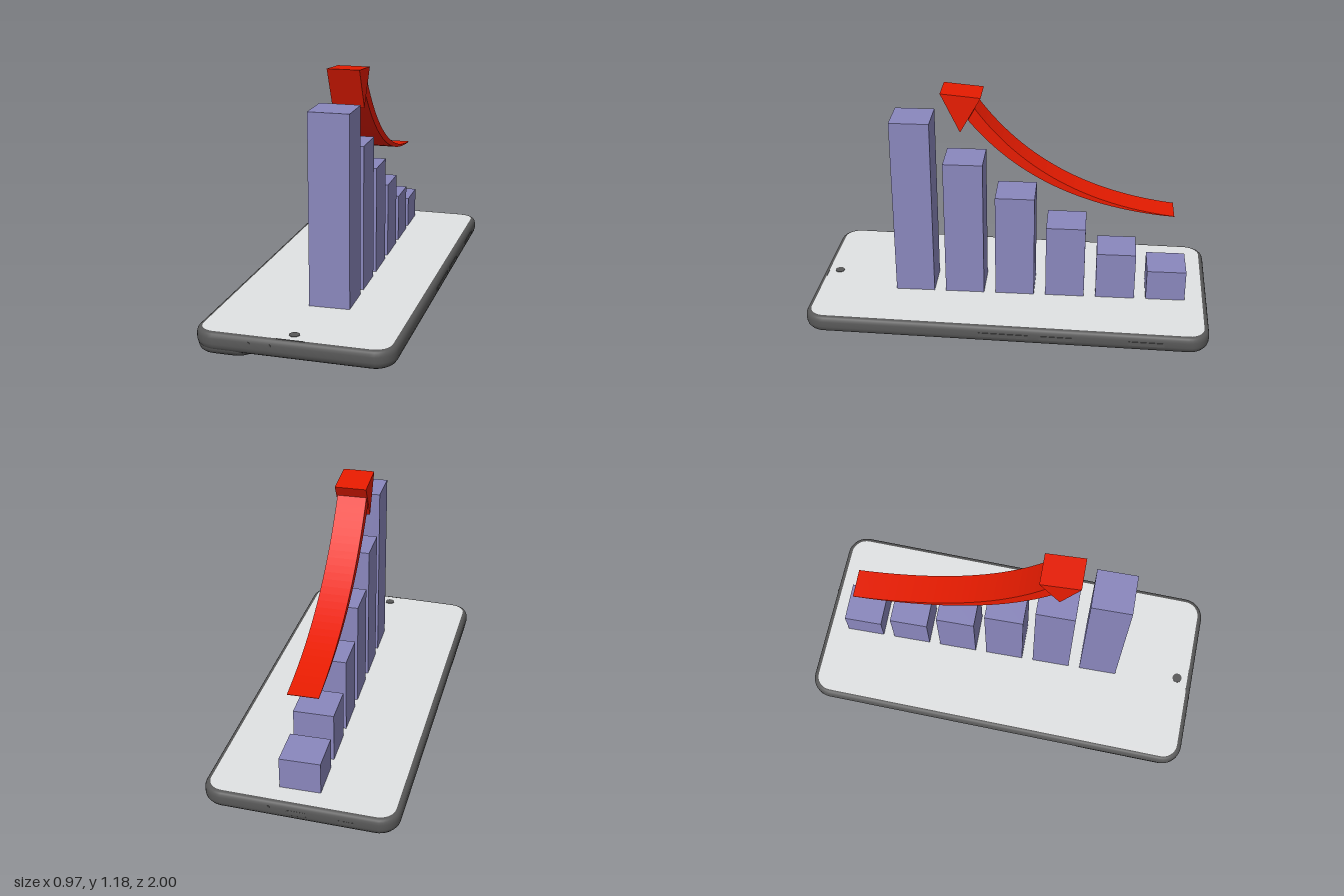
import * as THREE from 'three';

const mat = (name, color) => {
  const m = new THREE.MeshStandardMaterial({ color });
  m.name = name;
  return m;
};

// Rounded rectangle in x/z, running from +x towards +z
function outline(w, l, r, steps = 8) {
  const pts = [];
  [[1, 1], [-1, 1], [-1, -1], [1, -1]].forEach(([sx, sz], q) => {
    for (let i = 0; i <= steps; i++) {
      const t = (q + i / steps) * Math.PI / 2;
      pts.push(new THREE.Vector2(sx * (w / 2 - r) + r * Math.cos(t), sz * (l / 2 - r) + r * Math.sin(t)));
    }
  });
  return pts;
}

// Smooth wall through inset outlines; profile = [inset, y] from bottom to top
function loft(w, l, r, profile) {
  const pos = [], idx = [];
  let n = 0;
  for (const [inset, y] of profile) {
    const ring = outline(w - 2 * inset, l - 2 * inset, Math.max(r - inset, 0.01));
    n = ring.length;
    ring.forEach(p => pos.push(p.x, y, p.y));
  }
  for (let i = 0; i < profile.length - 1; i++) {
    for (let j = 0; j < n; j++) {
      const a = i * n + j, b = i * n + (j + 1) % n, c = a + n, d = b + n;
      idx.push(a, c, b, b, c, d);
    }
  }
  const g = new THREE.BufferGeometry();
  g.setAttribute('position', new THREE.Float32BufferAttribute(pos, 3));
  g.setIndex(idx);
  g.computeVertexNormals();
  return g;
}

// Flat rounded plate facing up (dir 1) or down (dir -1)
function plate(w, l, r, y, dir) {
  const g = new THREE.ShapeGeometry(new THREE.Shape(outline(w, l, r)));
  g.rotateX(-dir * Math.PI / 2);
  return g.translate(0, y, 0);
}

export function createModel() {
  const bodyMat = mat('body grey', 0x585858);
  const screenMat = mat('screen light grey', 0xe1e3e4);
  const barMat = mat('bar violet', 0x8a87bd);
  const redMat = mat('arrow red', 0xec1c00);

  const model = new THREE.Group();
  const phone = new THREE.Group();
  phone.name = 'phone';
  phone.rotation.set(0, -0.027, 0.008);
  model.add(phone);
  const add = (parent, name, geo, material, x = 0, y = 0, z = 0) => {
    const m = new THREE.Mesh(geo, material);
    m.name = name;
    m.position.set(x, y, z);
    parent.add(m);
    return m;
  };

  // Phone body
  const W = 0.92, L = 1.98, R = 0.1;
  add(phone, 'frame', loft(W, L, R, [[0.065, 0.022], [0.045, 0.0235], [0.03, 0.028], [0.014, 0.037],
    [0.004, 0.05], [0, 0.066], [0, 0.092], [0.003, 0.104], [0.008, 0.112], [0.014, 0.116], [0.02, 0.117]]), bodyMat);
  add(phone, 'bezel', plate(W - 0.04, L - 0.04, R - 0.02, 0.117, 1), bodyMat);
  add(phone, 'screen', plate(W - 0.048, L - 0.048, R - 0.024, 0.1185, 1), screenMat);
  add(phone, 'backPanel', plate(W - 0.13, L - 0.13, R - 0.065, 0.022, -1), bodyMat);

  // Front camera and earpiece
  add(phone, 'frontCamera', new THREE.CylinderGeometry(0.024, 0.024, 0.004, 24), bodyMat, 0, 0.119, 0.91);
  add(phone, 'earpiece', new THREE.BoxGeometry(0.13, 0.002, 0.005), bodyMat, 0, 0.118, 0.967);

  // Rear camera island with lenses and flash
  const island = new THREE.Group();
  island.name = 'cameraIsland';
  island.position.set(-0.316, 0, 0.674);
  phone.add(island);
  add(island, 'islandWall', loft(0.28, 0.61, 0.09,
    [[0.036, 0.006], [0.02, 0.01], [0.008, 0.02], [0.002, 0.034], [0, 0.05]]), bodyMat);
  add(island, 'islandFace', plate(0.208, 0.538, 0.054, 0.006, -1), bodyMat);
  for (const z of [0.186, 0.016, -0.154]) {
    const ring = add(island, 'lensRing', new THREE.TorusGeometry(0.068, 0.003, 6, 36), bodyMat, 0.008, 0.006, z);
    ring.rotation.x = Math.PI / 2;
    add(island, 'lens', new THREE.CylinderGeometry(0.066, 0.066, 0.003, 36), bodyMat, 0.008, 0.0055, z);
  }
  add(phone, 'flash', new THREE.CylinderGeometry(0.026, 0.026, 0.006, 24), bodyMat, -0.12, 0.02, 0.85);

  // Slim buttons on the left side
  for (const [z, len] of [[-0.69, 0.17], [-0.26, 0.17], [0, 0.24]]) {
    add(phone, 'sideButton', new THREE.BoxGeometry(0.006, 0.02, len), bodyMat, W / 2, 0.076, z);
  }

  // Charging port, speaker slots and microphones
  const port = add(phone, 'chargingPort', new THREE.CapsuleGeometry(0.013, 0.07, 6, 12), bodyMat, 0, 0.075, -L / 2);
  port.rotation.z = Math.PI / 2;
  port.scale.z = 0.15;
  for (let i = 0; i < 4; i++) {
    add(phone, 'speakerSlot', new THREE.BoxGeometry(0.011, 0.014, 0.003), bodyMat, -0.2 - i * 0.019, 0.075, -L / 2);
  }
  for (const [x, z] of [[-0.185, L / 2], [-0.088, L / 2], [0.13, -L / 2]]) {
    const mic = add(phone, 'microphone', new THREE.CylinderGeometry(0.006, 0.006, 0.003, 14), bodyMat, x, 0.09, z);
    mic.rotation.x = Math.PI / 2;
  }

  // Rising bars
  const bars = new THREE.Group();
  bars.name = 'barChart';
  model.add(bars);
  const base = 0.112;
  [0.278, 0.365, 0.5, 0.655, 0.828, 1.035].forEach((top, i) => {
    add(bars, 'bar', new THREE.BoxGeometry(0.194, top - base, 0.194), barMat,
      0.037, (top + base) / 2, -0.777 + i * 0.2522);
  });

  // Arrow: side profiles [z, y] extruded across x
  const extrudeX = (shape, x0, x1) => {
    const g = new THREE.ExtrudeGeometry(shape, { depth: x1 - x0, bevelEnabled: false, curveSegments: 28 });
    g.rotateY(-Math.PI / 2);
    return g.translate(x1, 0, 0);
  };
  const arrow = new THREE.Group();
  arrow.name = 'arrow';
  model.add(arrow);
  const shaft = new THREE.Shape();
  shaft.moveTo(-0.795, 0.577);
  shaft.quadraticCurveTo(-0.141, 0.62, 0.203, 1.053);
  shaft.lineTo(0.17, 1.112);
  shaft.quadraticCurveTo(-0.161, 0.649, -0.795, 0.579);
  add(arrow, 'arrowShaft', extrudeX(shaft, -0.037, 0.108), redMat);
  const head = new THREE.Shape();
  head.moveTo(0.333, 1.184);
  head.lineTo(0.141, 1.167);
  head.lineTo(0.241, 0.99);
  add(arrow, 'arrowHead', extrudeX(head, -0.041, 0.114), redMat);

  return model;
}
